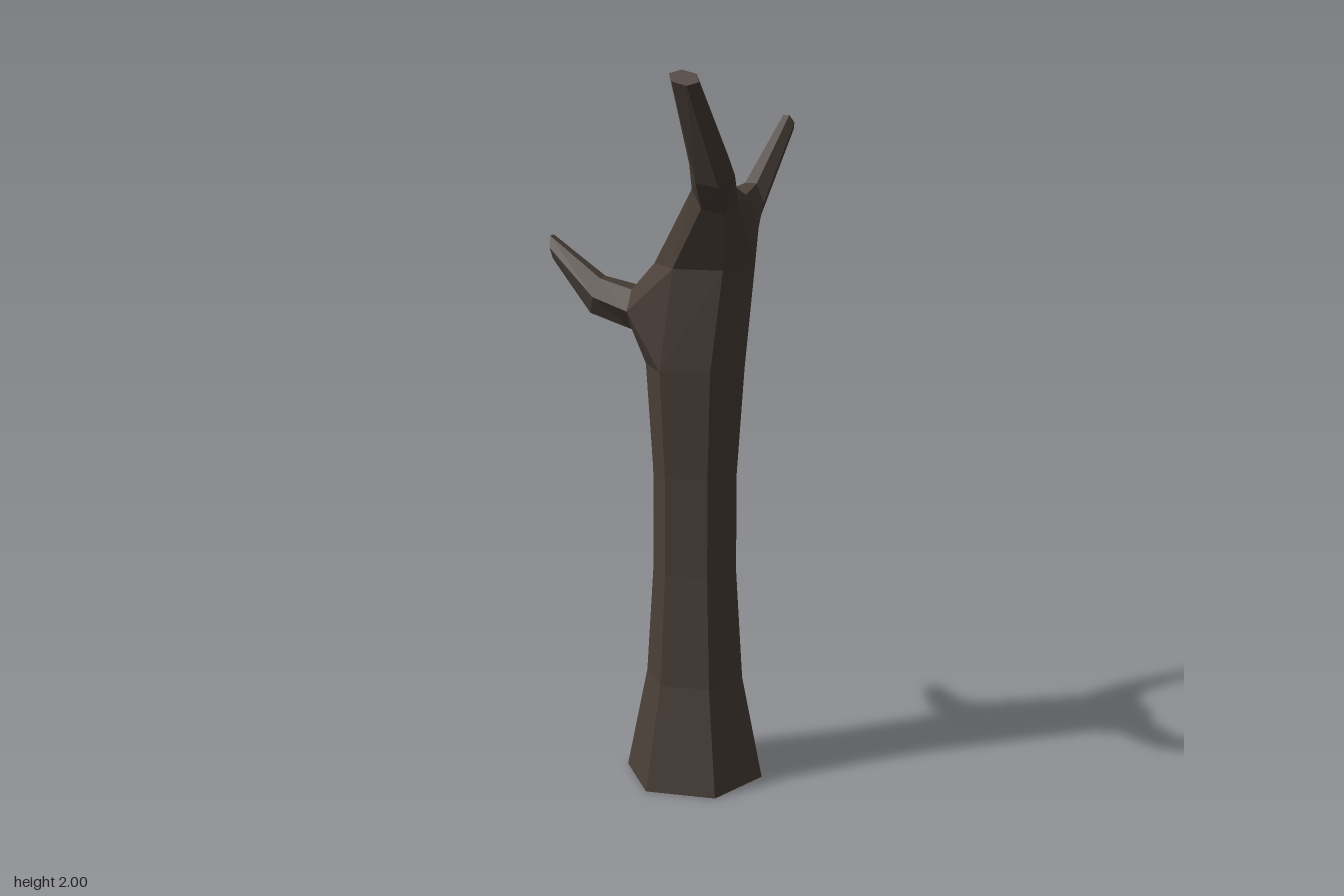
import * as THREE from 'three';
import { ConvexGeometry } from 'three/addons/geometries/ConvexGeometry.js';

const V = (x, y, z) => new THREE.Vector3(x, y, z);

// Six-sided section: centre, half-width vector, half-height vector.
function section(c, side, up) {
  const ring = [];
  for (let k = 0; k < 6; k++) {
    const a = (k * Math.PI) / 3;
    const u = Math.sign(Math.round(Math.sin(a) * 10));
    ring.push(V(...c).addScaledVector(V(...side), Math.cos(a)).addScaledVector(V(...up), u));
  }
  return ring;
}

// Skin a list of rings and cap both ends.
function loft(rings) {
  const pos = [];
  const tri = (...p) => p.forEach(v => pos.push(v.x, v.y, v.z));
  const n = rings[0].length;
  for (let i = 0; i < rings.length - 1; i++) {
    for (let k = 0; k < n; k++) {
      const j = (k + 1) % n;
      const [a, b, c, d] = [rings[i][k], rings[i][j], rings[i + 1][j], rings[i + 1][k]];
      tri(a, b, c);
      tri(a, c, d);
    }
  }
  const first = rings[0], last = rings[rings.length - 1];
  for (let k = 1; k < n - 1; k++) {
    tri(first[0], first[k + 1], first[k]);
    tri(last[0], last[k], last[k + 1]);
  }
  const g = new THREE.BufferGeometry();
  g.setAttribute('position', new THREE.Float32BufferAttribute(pos, 3));
  g.computeVertexNormals();
  return g;
}

export function createModel() {
  const group = new THREE.Group();
  const bark = new THREE.MeshStandardMaterial({ color: 0x4a3f38, flatShading: true });
  const add = (name, geometry) => {
    const mesh = new THREE.Mesh(geometry, bark);
    mesh.name = name;
    group.add(mesh);
  };

  // Trunk: hexagonal rings [height, radius], flared at the foot
  const trunk = [[0, 0.2], [0.3, 0.14], [0.62, 0.12], [0.9, 0.12], [1.2, 0.14]].map(([y, r]) =>
    Array.from({ length: 6 }, (_, k) => {
      const a = (k * Math.PI) / 3;
      return V(-0.02 + r * Math.cos(a), y, 0.06 - r * Math.sin(a));
    }));
  const top = [[0.095, 0.065], [0.05, -0.04], [-0.075, -0.04], [-0.14, 0.09], [-0.075, 0.213], [0.085, 0.185]]
    .map(([x, z]) => V(x, 1.48, z));
  const shoulder = trunk[4];
  trunk.push(top);
  add('trunk', loft(trunk));

  // Branches: sections from root to broken tip
  const rightBranch = [
    section([-0.11, 1.68, 0.215], [0.035, -0.015, 0.05], [0.03, 0.04, -0.02]),
    section([-0.21, 1.755, 0.295], [0, -0.01, 0.078], [0.018, 0.04, 0]),
    section([-0.348, 1.982, 0.33], [0, -0.01, 0.05], [0.018, 0.014, 0]),
  ];
  const leftBranch = [
    section([0.105, 1.575, 0.08], [-0.022, 0, -0.08], [0, 0.085, 0]),
    section([0.215, 1.633, 0.058], [0, 0, -0.043], [-0.005, 0.053, 0]),
    section([0.355, 1.85, 0.07], [0, 0, -0.022], [-0.01, 0.02, 0]),
  ];
  const backBranch = [
    section([-0.1, 1.355, -0.085], [-0.075, 0, 0.035], [0, 0.055, 0]),
    section([-0.143, 1.385, -0.195], [-0.05, 0, 0.03], [0, 0.05, 0.02]),
    section([-0.152, 1.506, -0.367], [-0.028, 0, 0.015], [0, 0.032, -0.005]),
  ];
  add('rightBranch', loft(rightBranch));
  add('leftBranch', loft(leftBranch));
  add('backBranch', loft(backBranch));

  // Fork where the trunk splits into the two upper branches
  add('fork', new ConvexGeometry([...top, ...rightBranch[0], ...leftBranch[0], V(0.05, 1.66, 0.2)]));

  // Collar joining the back branch to the trunk
  add('backCollar', new ConvexGeometry([
    ...backBranch[0], ...shoulder.slice(1, 4), ...top.slice(1, 4),
  ]));

  return group;
}
